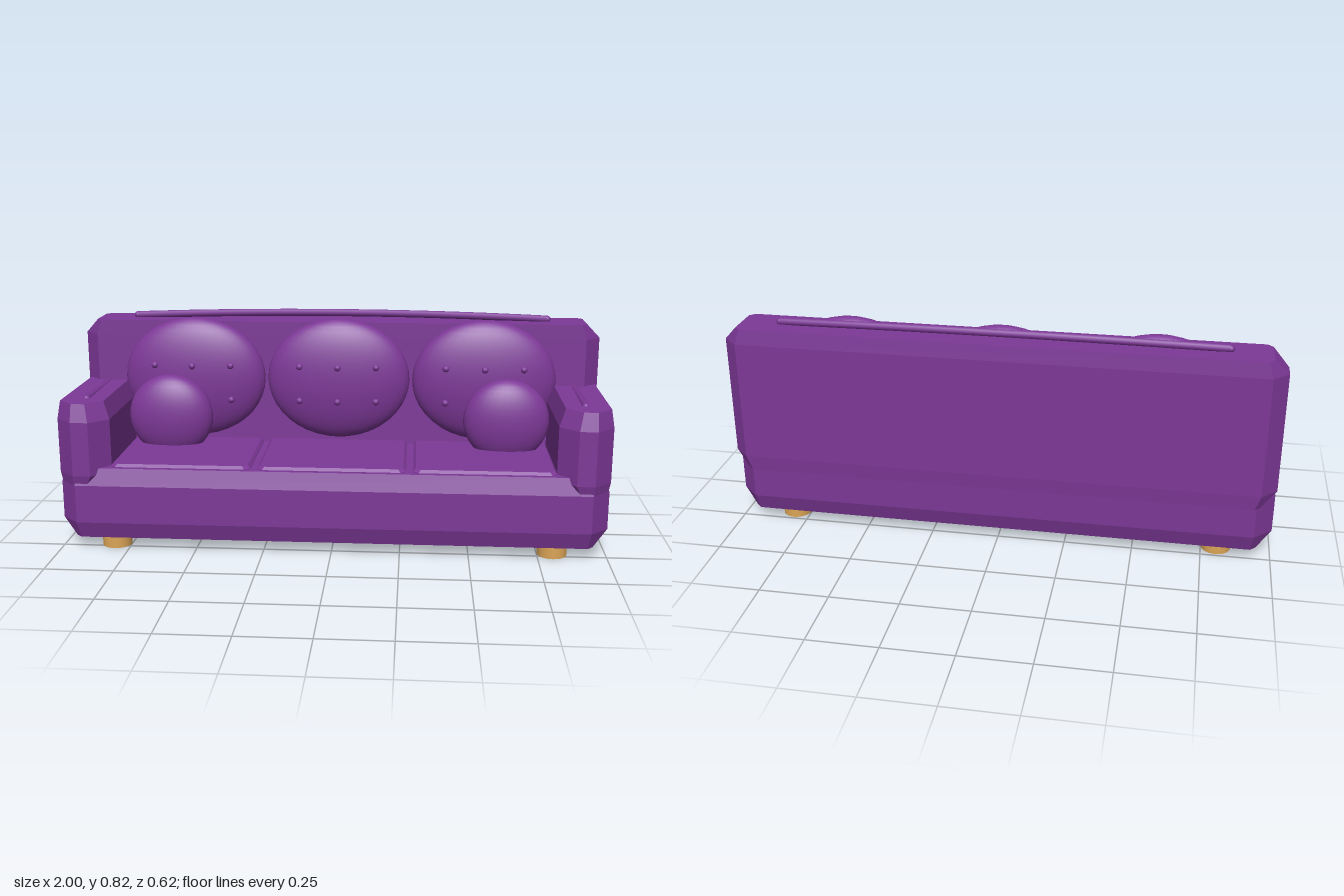
import * as THREE from 'three';

const fabric = new THREE.MeshStandardMaterial({ color: 0x7d3897 });
fabric.name = 'purpleFabric';
const wood = new THREE.MeshStandardMaterial({ color: 0xdca557, side: THREE.DoubleSide });
wood.name = 'lightWood';

// Faceted block from stacked octagons; each level is [y, x0, x1, z0, z1, front cut, back cut]
function facetedBlock(levels) {
  const rings = levels.map(([y, x0, x1, z0, z1, c, b = c]) => [
    [x1, z1 - c], [x1, z0 + b], [x1 - b, z0], [x0 + b, z0],
    [x0, z0 + b], [x0, z1 - c], [x0 + c, z1], [x1 - c, z1],
  ].map(([x, z]) => [x, y, z]));
  const pos = [];
  const tri = (a, b, c) => pos.push(...a, ...b, ...c);
  for (let r = 0; r < rings.length - 1; r++) {
    const lo = rings[r], hi = rings[r + 1];
    for (let i = 0; i < 8; i++) {
      const j = (i + 1) % 8;
      tri(lo[i], lo[j], hi[j]);
      tri(lo[i], hi[j], hi[i]);
    }
  }
  const bottom = rings[0], top = rings[rings.length - 1];
  for (let i = 1; i < 7; i++) {
    tri(top[0], top[i], top[i + 1]);
    tri(bottom[0], bottom[i + 1], bottom[i]);
  }
  const geo = new THREE.BufferGeometry();
  geo.setAttribute('position', new THREE.Float32BufferAttribute(pos, 3));
  geo.computeVertexNormals();
  return geo;
}

export function createModel() {
  const group = new THREE.Group();
  group.name = 'sofa';
  const add = (name, geo, mat = fabric, x = 0, y = 0, z = 0, parent = group) => {
    const mesh = new THREE.Mesh(geo, mat);
    mesh.name = name;
    mesh.position.set(x, y, z);
    parent.add(mesh);
    return mesh;
  };

  // Base
  add('base', facetedBlock([
    [0.045, -0.945, 0.945, -0.265, 0.285, 0.02],
    [0.107, -0.998, 0.998, -0.285, 0.305, 0.065],
    [0.248, -0.998, 0.998, -0.285, 0.305, 0.065],
    [0.31, -0.945, 0.945, -0.265, 0.285, 0.02],
  ]));

  // Backrest
  add('backrest', facetedBlock([
    [0.23, -0.945, 0.945, -0.305, -0.14, 0.02],
    [0.285, -1, 1, -0.31, -0.135, 0.056],
    [0.73, -1, 1, -0.31, -0.135, 0.056],
    [0.787, -0.945, 0.945, -0.304, -0.135, 0.02],
  ]));

  // Piping roll along the top of the backrest
  const backCurve = new THREE.QuadraticBezierCurve3(
    new THREE.Vector3(-0.8, 0.795, -0.218),
    new THREE.Vector3(0, 0.822, -0.262),
    new THREE.Vector3(0.8, 0.795, -0.218));
  add('backPiping', new THREE.TubeGeometry(backCurve, 16, 0.014, 8));
  for (const s of [-1, 1]) {
    add('backPipingEnd', new THREE.SphereGeometry(0.014, 8, 6), fabric, s * 0.8, 0.795, -0.218);
  }

  // Armrests with a slim piping roll on top
  for (const s of [-1, 1]) {
    const side = s > 0 ? 'left' : 'right';
    const armLevel = (y, inner, outer, z0, z1, c, b) =>
      [y, Math.min(s * inner, s * outer), Math.max(s * inner, s * outer), z0, z1, c, b];
    add(side + 'Armrest', facetedBlock([
      armLevel(0.245, 0.835, 0.992, -0.18, 0.3, 0.055, 0.01),
      armLevel(0.285, 0.808, 1, -0.195, 0.31, 0.064, 0.01),
      armLevel(0.485, 0.808, 1, -0.195, 0.31, 0.064, 0.01),
      armLevel(0.55, 0.83, 0.99, -0.185, 0.29, 0.055, 0.01),
    ]));
    const roll = new THREE.CapsuleGeometry(0.014, 0.31, 4, 8);
    roll.rotateX(Math.PI / 2 - 0.016);
    add(side + 'ArmPiping', roll, fabric, s * 0.905, 0.544, 0.03);
  }

  // Seat cushions
  for (const [x0, x1] of [[-0.81, -0.295], [-0.27, 0.27], [0.295, 0.81]]) {
    add('seatCushion', facetedBlock([
      [0.29, x0, x1, -0.15, 0.272, 0.02],
      [0.312, x0, x1, -0.15, 0.272, 0.02],
      [0.322, x0 + 0.01, x1 - 0.01, -0.15, 0.262, 0.018],
    ]));
  }

  // Round back cushions with two rows of buttons
  const rx = 0.275, ry = 0.233, rz = 0.082;
  const cushionGeo = new THREE.SphereGeometry(1, 32, 20).scale(rx, ry, rz);
  const buttonGeo = new THREE.SphereGeometry(0.013, 10, 8);
  for (const x of [-0.56, 0, 0.56]) {
    const cushion = new THREE.Group();
    cushion.name = 'backCushion';
    cushion.position.set(x, 0.567, -0.136);
    group.add(cushion);
    add('cushionBody', cushionGeo, fabric, 0, 0, 0, cushion);
    for (const bx of [-0.147, 0, 0.147]) {
      for (const by of [-0.077, 0.057]) {
        const bz = rz * Math.sqrt(1 - (bx / rx) ** 2 - (by / ry) ** 2);
        add('button', buttonGeo, fabric, bx, by, bz, cushion);
      }
    }
  }

  // Small throw pillows
  const pillowGeo = new THREE.SphereGeometry(1, 28, 18).scale(0.163, 0.16, 0.075);
  for (const s of [-1, 1]) add('throwPillow', pillowGeo, fabric, s * 0.645, 0.43, -0.054);

  // Hollow legs
  const legGeo = new THREE.CylinderGeometry(0.054, 0.054, 0.047, 24, 1, true);
  for (const x of [-0.805, 0.805]) {
    for (const z of [0.224, -0.187]) add('leg', legGeo, wood, x, 0.0235, z);
  }

  return group;
}
